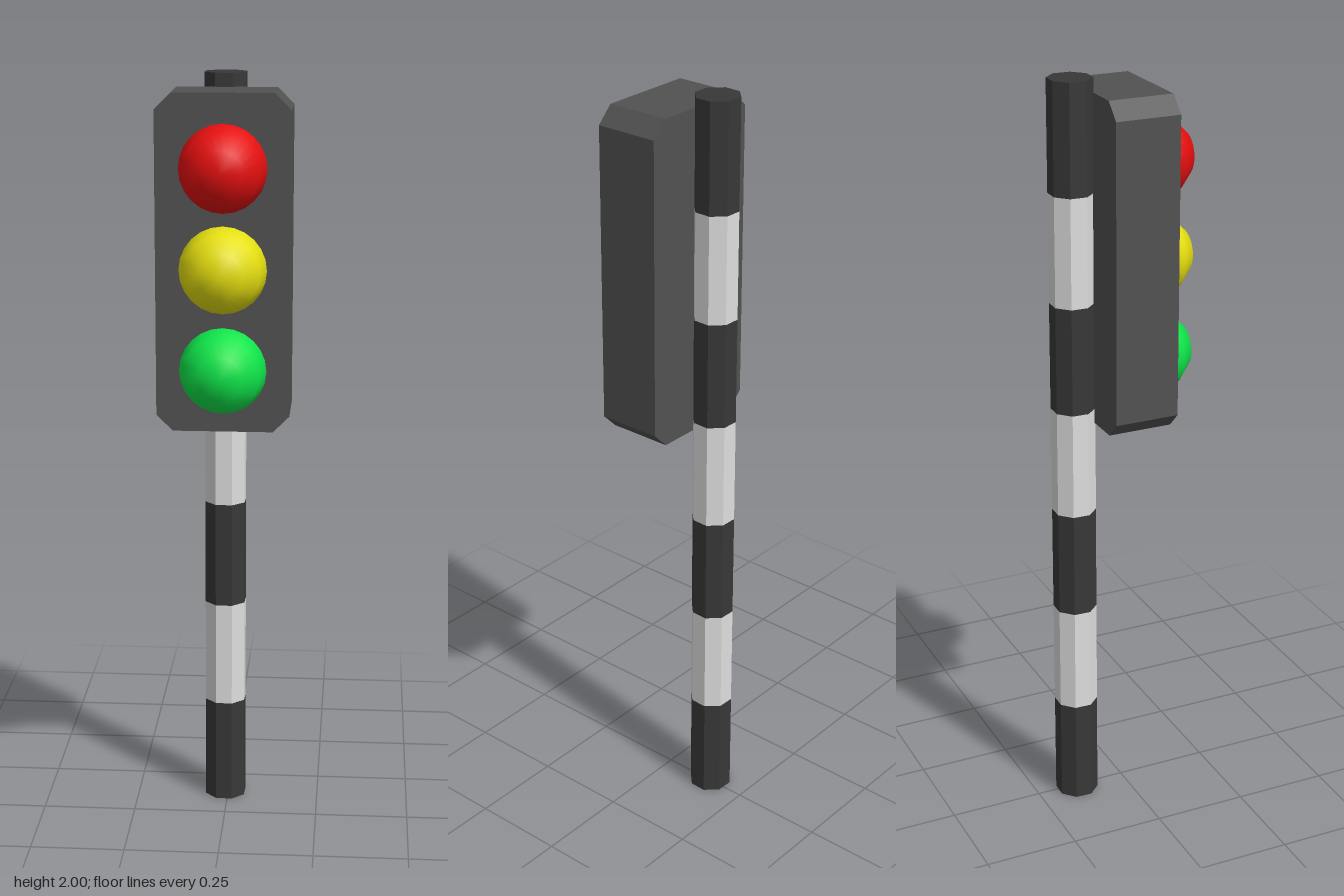
import * as THREE from 'three';

const material = (name, color) => {
  const m = new THREE.MeshStandardMaterial({ color });
  m.name = name;
  return m;
};

export function createModel() {
  const model = new THREE.Group();
  model.name = 'trafficLight';

  const housingGrey = material('housingGrey', 0x525252);
  const poleDark = material('poleDark', 0x383838);
  const poleLight = material('poleLight', 0xdedede);
  poleDark.flatShading = poleLight.flatShading = true;

  // Octagonal pole made of seven alternating bands
  const pole = new THREE.Group();
  pole.name = 'pole';
  pole.position.set(-0.007, 0, -0.138);
  pole.rotation.y = Math.PI / 8 - 0.035;
  const bands = 7, bandHeight = 2 / bands;
  for (let i = 0; i < bands; i++) {
    const capped = i === 0 || i === bands - 1;
    const band = new THREE.Mesh(
      new THREE.CylinderGeometry(0.0575, 0.0575, bandHeight, 8, 1, !capped),
      i % 2 ? poleLight : poleDark
    );
    band.name = i % 2 ? 'lightBand' : 'darkBand';
    band.position.y = (i + 0.5) * bandHeight;
    pole.add(band);
  }
  model.add(pole);

  // Housing: upright box with chamfered corners, extruded front to back
  const w = 0.171, h = 0.43, c = 0.042;
  const outline = new THREE.Shape([
    [w, h - c], [w - c, h], [c - w, h], [-w, h - c],
    [-w, c - h], [c - w, -h], [w - c, -h], [w, c - h],
  ].map(([x, y]) => new THREE.Vector2(x, y)));
  const housing = new THREE.Mesh(
    new THREE.ExtrudeGeometry(outline, { depth: 0.171, bevelEnabled: false }),
    housingGrey
  );
  housing.name = 'housing';
  housing.position.set(0, 1.535, -0.091);
  model.add(housing);

  // Domed lamps: half spheres with their poles facing forward
  const dome = new THREE.SphereGeometry(0.112, 24, 3, 0, Math.PI * 2, 0, Math.PI / 2);
  dome.rotateX(Math.PI / 2);
  const lamps = [
    ['red', 0xe60f0f, 1.778],
    ['yellow', 0xe6e00f, 1.523],
    ['green', 0x0fe64a, 1.264],
  ];
  for (const [name, color, y] of lamps) {
    const lamp = new THREE.Mesh(dome, material(name, color));
    lamp.name = name + 'Lamp';
    lamp.position.set(0, y, 0.079);
    model.add(lamp);
  }

  return model;
}
